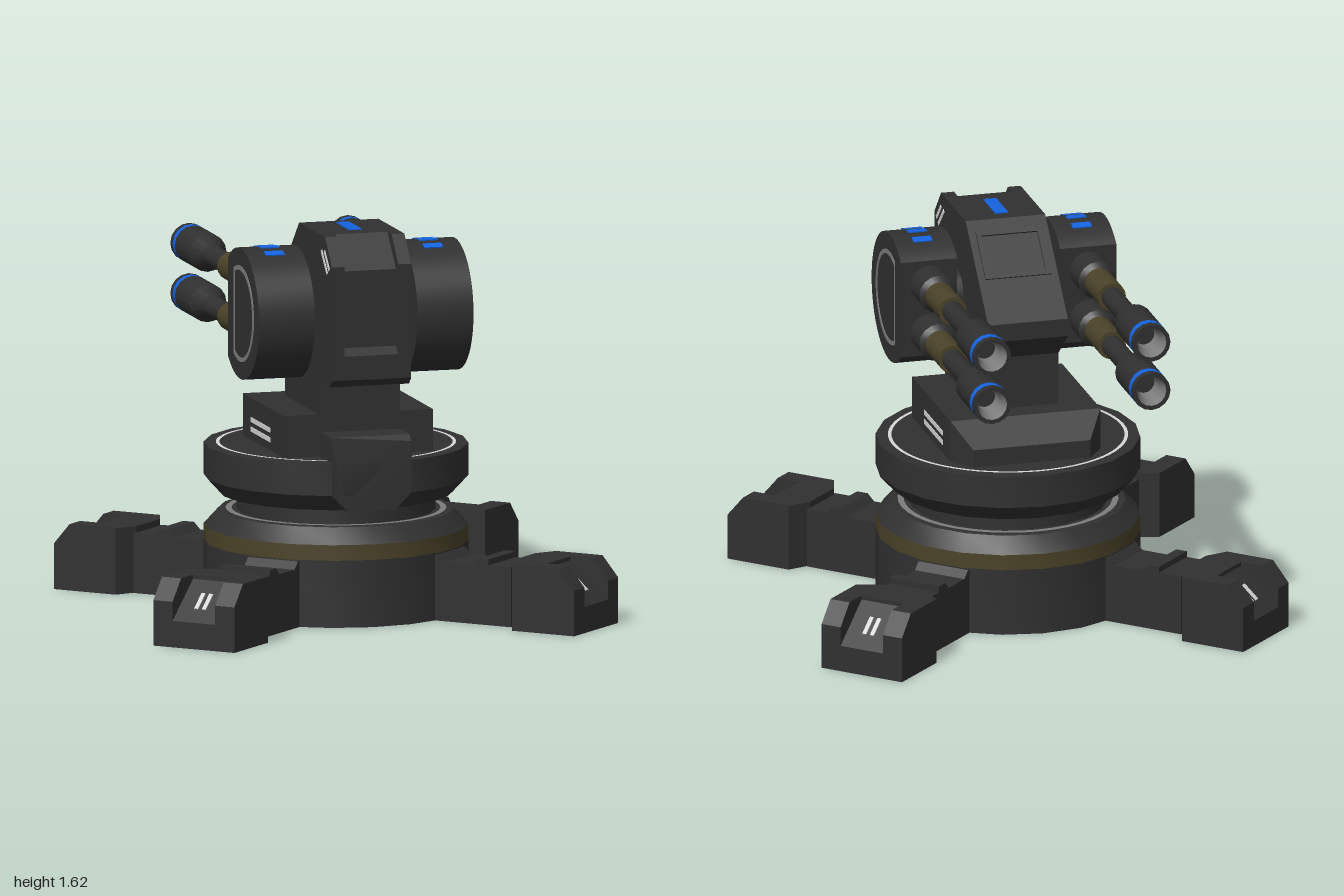
import * as THREE from 'three';
import { toCreasedNormals } from 'three/addons/utils/BufferGeometryUtils.js';

const paint = (name, color) => new THREE.MeshStandardMaterial({ name, color, side: THREE.DoubleSide });
const dark = paint('dark metal', 0x303030);
const olive = paint('olive metal', 0x4a4228);
const blue = paint('blue light', 0x1463e0);
const white = paint('white marking', 0xd6d6d6);
const grey = paint('grey metal', 0x7c7c7c);

function add(parent, name, geo, mat) {
  const mesh = new THREE.Mesh(toCreasedNormals(geo, 0.6), mat);
  mesh.name = name;
  parent.add(mesh);
  return mesh;
}
function group(parent, name) {
  const g = new THREE.Group();
  g.name = name;
  parent.add(g);
  return g;
}
const vectors = pts => pts.map(p => new THREE.Vector2(...p));
const shapeOf = pts => new THREE.Shape(vectors(pts));
const extrude = (shape, depth) =>
  new THREE.ExtrudeGeometry(shape, { depth, bevelEnabled: false, curveSegments: 24 });
// shape drawn in (z, y), spanning x0 to x1
const sideShape = (shape, x0, x1) => extrude(shape, x1 - x0).rotateY(-Math.PI / 2).translate(x1, 0, 0);
const side = (pts, x0, x1) => sideShape(shapeOf(pts), x0, x1);
const box = (w, h, d, x = 0, y = 0, z = 0) => new THREE.BoxGeometry(w, h, d).translate(x, y, z);
const lathe = (pts, n) => new THREE.LatheGeometry(vectors(pts), n);
// moves every vertex by a rule
function bend(geo, rule) {
  const p = geo.attributes.position, v = new THREE.Vector3();
  for (let i = 0; i < p.count; i++) {
    rule(v.fromBufferAttribute(p, i));
    p.setXYZ(i, v.x, v.y, v.z);
  }
  return geo;
}
// drops the triangles lying on the ground, leaving a hollow shell
function hollow(geo) {
  const a = geo.attributes.position.array, keep = [];
  for (let i = 0; i < a.length; i += 9)
    if (Math.max(a[i + 1], a[i + 4], a[i + 7]) > 0.001) keep.push(...a.slice(i, i + 9));
  return new THREE.BufferGeometry().setAttribute('position', new THREE.Float32BufferAttribute(keep, 3));
}

function buildBase(root) {
  const base = group(root, 'base');
  add(base, 'baseWall', lathe([[0.545, 0], [0.545, 0.28]], 20), dark);
  add(base, 'baseBand', lathe([[0.545, 0.28], [0.545, 0.345]], 20), olive);
  add(base, 'baseShoulder', lathe([[0.545, 0.345], [0.485, 0.41], [0.41, 0.41], [0.41, 0.48]], 20), dark);
  add(base, 'neckRing', lathe([[0.455, 0.413], [0.43, 0.413]], 40), grey);

  // turntable with a flattened front
  const table = lathe([[0, 0.48], [0.48, 0.48], [0.545, 0.55], [0.545, 0.685], [0, 0.685]], 20);
  add(base, 'turntable', bend(table, v => { v.z = Math.min(v.z, 0.52); }), dark);
  add(base, 'turntableRing', lathe([[0.495, 0.688], [0.48, 0.688]], 60), white);
  const block = extrude(shapeOf([[-0.1, 0.48], [0.1, 0.48], [0.17, 0.55], [0.17, 0.765], [0.17, 0.79],
    [-0.17, 0.79], [-0.17, 0.765], [-0.17, 0.55]]), 0.2).translate(0, 0, 0.322);
  add(base, 'frontBlock', bend(block, v => { if (v.y > 0.78 && v.z > 0.5) v.z = 0.495; }), dark);
}

function buildLeg(root, angle) {
  const leg = group(root, 'leg');
  leg.rotation.y = angle;
  const arm = [[0.5, 0], [0.5, 0.275], [0.54, 0.275], [0.57, 0.245], [0.7, 0.245], [0.73, 0.275],
    [0.78, 0.275], [0.78, 0.25], [0.885, 0.25], [0.885, 0]];
  add(leg, 'legArm', hollow(side(arm, -0.117, 0.117)), dark);
  // foot: two cheeks around a sloped notch
  const cheek = [[0.88, 0], [0.88, 0.277], [1.146, 0.277], [1.22, 0.19], [1.22, 0]];
  const middle = [[0.88, 0], [0.88, 0.277], [1.045, 0.277], [1.045, 0.26], [1.22, 0.11], [1.22, 0]];
  add(leg, 'footMiddle', hollow(side(middle, -0.1, 0.1)), dark);
  for (const s of [-1, 1]) {
    const geo = side(cheek, s > 0 ? 0.1 : -0.19, s > 0 ? 0.19 : -0.1);
    add(leg, 'footCheek', hollow(bend(geo, v => {
      if (Math.abs(v.x) > 0.15 && v.z < 0.9) v.z = 0.93;
    })), dark);
    const stripe = add(leg, 'footStripe', box(0.018, 0.006, 0.085), white);
    stripe.position.set(s * 0.018, 0.186, 1.135);
    stripe.rotation.x = Math.atan2(0.15, 0.175);
  }
}

function buildBody(root) {
  const body = group(root, 'body');
  add(body, 'lowerBlock', box(0.64, 0.176, 0.595, 0, 0.772, 0.0275), dark);
  const nose = side([[-0.27, 0.685], [-0.27, 0.86], [-0.37, 0.76], [-0.37, 0.685]], -0.32, 0.32);
  add(body, 'lowerNose', bend(nose, v => { if (v.z < -0.36) v.x *= 0.78; }), dark);
  add(body, 'column', box(0.34, 0.45, 0.52, 0, 0.9, 0.095), dark);

  // head: two cheeks and a middle with a recessed front
  const back = [[0.04, 1.615], [-0.31, 1.275], [-0.31, 1.2], [-0.165, 1.08], [-0.165, 1.0]];
  const cheek = [[0.49, 1.0], [0.52, 1.03], [0.52, 1.505], [0.42, 1.615], ...back];
  const middle = [[0.49, 1.0], [0.52, 1.03], [0.52, 1.13], [0.485, 1.16], [0.485, 1.48], [0.36, 1.615], ...back];
  add(body, 'headMiddle', side(middle, -0.115, 0.115), dark);
  add(body, 'headCheek', side(cheek, 0.115, 0.17), dark);
  add(body, 'headCheek', side(cheek, -0.17, -0.115), dark);
  add(body, 'headLight', box(0.054, 0.008, 0.185, 0, 1.616, 0.19), blue);

  // framed hatch on the rear slope
  const frame = shapeOf([[-0.14, -0.11], [0.14, -0.11], [0.14, 0.11], [-0.14, 0.11]]);
  frame.holes.push(new THREE.Path(vectors([[-0.12, -0.09], [-0.12, 0.09], [0.12, 0.09], [0.12, -0.09]])));
  const hatch = add(body, 'rearHatchFrame', extrude(frame, 0.009), dark);
  hatch.position.set(0, 1.498, -0.08);
  hatch.rotation.set(-Math.PI / 4, Math.PI, 0, 'YXZ');

  // side markings
  for (const s of [-1, 1]) {
    for (const y of [0.73, 0.77])
      add(body, 'blockStripe', box(0.004, 0.02, 0.285, s * 0.321, y, -0.01), white);
    for (const [y, z, len] of [[1.522, 0.45, 0.1], [1.51, 0.414, 0.12]]) {
      const m = add(body, 'headStripe', box(0.004, 0.016, len), white);
      m.position.set(s * 0.171, y, z);
      m.rotation.x = Math.PI / 4;
    }
  }
}

// circle with its rear cut off by a chord at z = cut
function cutDisc(r, cut, Type = THREE.Shape) {
  const a = Math.acos(cut / r), d = new Type();
  d.absarc(0, 0, r, -a, a, false);
  d.closePath();
  return d;
}

function buildGun(root, s) {
  const pod = group(root, s > 0 ? 'leftGunPod' : 'rightGunPod');
  pod.position.set(s * 0.34, 1.27, 0.17);
  add(pod, 'axle', new THREE.CylinderGeometry(0.1, 0.1, 0.1, 16).rotateZ(Math.PI / 2).translate(-s * 0.15, 0, 0), dark);
  add(pod, 'drum', sideShape(cutDisc(0.273, -0.18), -0.12, 0.12), dark);
  const ring = cutDisc(0.2, -0.09);
  ring.holes.push(cutDisc(0.182, -0.08, THREE.Path));
  add(pod, 'drumRing', sideShape(ring, s * 0.121 - 0.002, s * 0.121 + 0.002), grey);
  for (const z of [-0.074, 0.01, 0.087]) {
    const a = Math.asin(z / 0.273);
    const light = add(pod, 'drumLight', box(0.08, 0.008, 0.036), blue);
    light.position.set(0, 0.273 * Math.cos(a), z);
    light.rotation.x = a;
  }
  // barrels, each turned around its own axis in sections
  for (const y of [-0.105, 0.105]) {
    const barrel = group(pod, 'barrel');
    barrel.position.set(0, y, -0.17);
    barrel.rotation.x = -Math.PI / 2;
    const part = (name, mat, pts) => add(barrel, name, lathe(pts, 16), mat);
    part('barrelSocket', dark, [[0.08, -0.06], [0.08, 0.15], [0.06, 0.172]]);
    part('barrelSleeve', olive, [[0.06, 0.17], [0.06, 0.375], [0.044, 0.375]]);
    part('barrelTube', dark, [[0.044, 0.37], [0.044, 0.65], [0.08, 0.715], [0.08, 0.925]]);
    part('barrelBand', blue, [[0.08, 0.925], [0.08, 0.96]]);
    part('muzzle', dark, [[0.08, 0.96], [0.08, 0.992], [0.062, 0.992]]);
    part('muzzleBore', grey, [[0.062, 0.992], [0.045, 0.94], [0.045, 0.87]]);
    part('boreEnd', dark, [[0.045, 0.87], [0, 0.87]]);
  }
}

export function createModel() {
  const root = new THREE.Group();
  root.name = 'turret';
  buildBase(root);
  for (let i = 0; i < 4; i++) buildLeg(root, Math.PI / 4 + i * Math.PI / 2);
  buildBody(root);
  for (const s of [-1, 1]) buildGun(root, s);
  return root;
}
